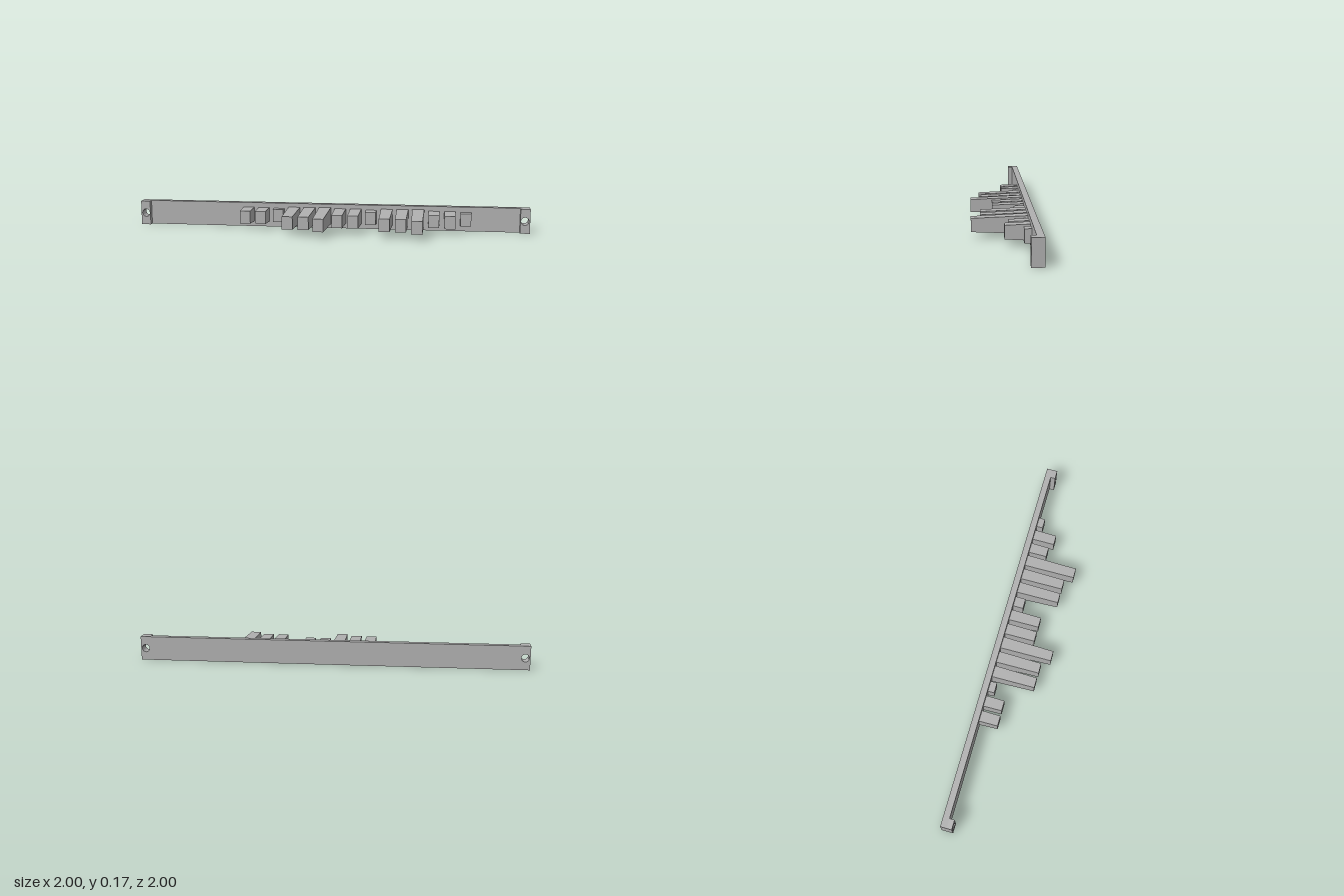
import * as THREE from 'three';

const HALF = 1.375, HEIGHT = 0.17, BACK = -0.039, FACE = 0.005, LUG_FACE = 0.039;
const LUG_WIDTH = 0.066, HOLE_X = 1.34, HOLE_R = 0.027;

// Upright slab with round screw holes, extruded from z0 to z1
function drilledSlab(x0, x1, z0, z1, holes) {
  const shape = new THREE.Shape([
    new THREE.Vector2(x0, 0), new THREE.Vector2(x1, 0),
    new THREE.Vector2(x1, HEIGHT), new THREE.Vector2(x0, HEIGHT),
  ]);
  for (const x of holes) {
    shape.holes.push(new THREE.Path().absarc(x, HEIGHT / 2, HOLE_R, 0, Math.PI * 2, true));
  }
  const geo = new THREE.ExtrudeGeometry(shape, { depth: z1 - z0, bevelEnabled: false, curveSegments: 16 });
  return geo.translate(0, 0, z0);
}

// Block projecting from the plate, slightly thicker at its root
function toothGeometry(tip) {
  const length = tip - FACE;
  const geo = new THREE.BoxGeometry(0.073, 0.088, length);
  const p = geo.attributes.position;
  for (let i = 0; i < p.count; i++) {
    if (p.getZ(i) < 0) {
      p.setX(i, p.getX(i) * (1 + 0.4 * length));
      p.setY(i, p.getY(i) * (1 + 0.9 * length));
    }
  }
  geo.translate(0, 0, FACE + length / 2);
  geo.computeVertexNormals();
  return geo;
}

export function createModel() {
  const model = new THREE.Group();
  model.name = 'toothedBar';
  const grey = new THREE.MeshStandardMaterial({ name: 'grey', color: 0xb0b0b0 });

  const bar = new THREE.Group();
  bar.name = 'bar';
  bar.rotation.y = Math.PI / 4; // the bar lies along the diagonal
  model.add(bar);

  const add = (name, geo, x = 0, y = 0) => {
    const mesh = new THREE.Mesh(geo, grey);
    mesh.name = name;
    mesh.position.set(x, y, 0);
    bar.add(mesh);
  };

  // Long back plate
  add('backPlate', drilledSlab(-HALF, HALF, BACK, FACE, [-HOLE_X, HOLE_X]));

  // Mounting lugs at both ends
  add('rightLug', drilledSlab(-HALF, -HALF + LUG_WIDTH, FACE, LUG_FACE, [-HOLE_X]));
  add('leftLug', drilledSlab(HALF - LUG_WIDTH, HALF, FACE, LUG_FACE, [HOLE_X]));

  // Row of evenly spaced teeth, given by how far each tip reaches
  const tips = [0.135, 0.133, 0.05, 0.305, 0.307, 0.366, 0.218, 0.219, 0.077,
    0.305, 0.307, 0.366, 0.134, 0.163, 0.05];
  tips.forEach((tip, i) => add(`tooth${i + 1}`, toothGeometry(tip), -0.59 + i * 0.1093, 0.087));

  return model;
}
